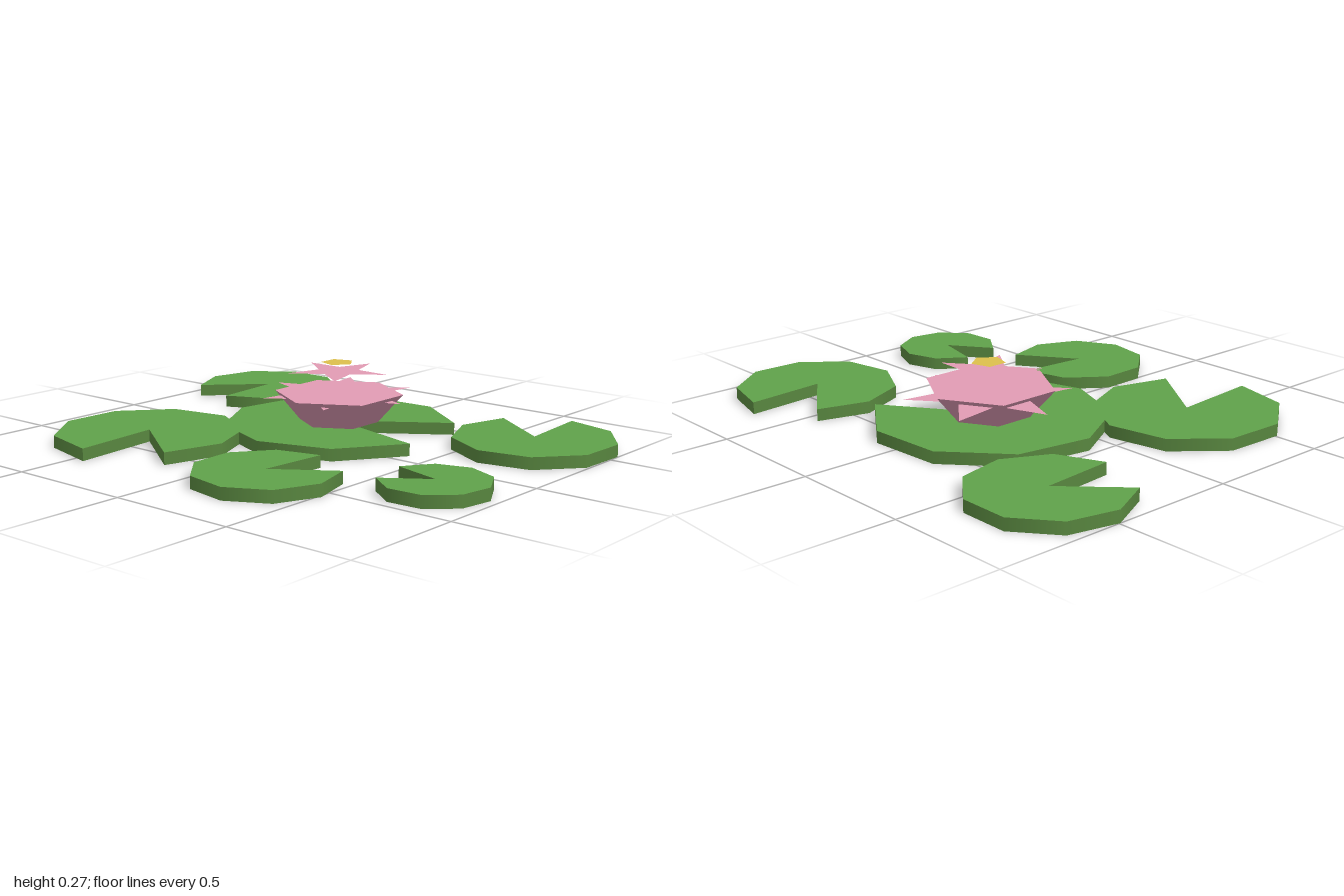
import * as THREE from 'three';
import { mergeGeometries } from 'three/addons/utils/BufferGeometryUtils.js';

const PAD_HEIGHT = 0.047;
const ARC = THREE.MathUtils.degToRad(310);

const green = new THREE.MeshStandardMaterial({ name: 'leaf green', color: 0x60a24a });
const edgeGreen = new THREE.MeshStandardMaterial({ name: 'leaf edge green', color: 0x58863f });
const pink = new THREE.MeshStandardMaterial({ name: 'petal pink', color: 0xe29bb4 });
const cupPink = new THREE.MeshStandardMaterial({ name: 'cup pink', color: 0xd292aa });
const yellow = new THREE.MeshStandardMaterial({ name: 'pollen yellow', color: 0xdcbf4c });
// Everything is a thin open shell
for (const material of [green, edgeGreen, pink, cupPink, yellow]) material.side = THREE.DoubleSide;

// Hollow eight-sided leaf with a wedge notch, open below; start is the angle from +x towards +z.
// Material group 0 is the rim and notch walls, group 1 the top.
function padGeometry(radius, startDegrees) {
  const start = THREE.MathUtils.degToRad(startDegrees);
  const thetaStart = Math.PI / 2 - start - ARC;
  const rim = new THREE.CylinderGeometry(radius, radius, PAD_HEIGHT, 8, 1, true, thetaStart, ARC);
  const wall = () => new THREE.PlaneGeometry(radius, PAD_HEIGHT).translate(radius / 2, 0, 0);
  const startWall = wall().rotateX(Math.PI).rotateY(-start);
  const endWall = wall().rotateY(-start - ARC);
  const sides = mergeGeometries([rim, startWall, endWall]);
  const top = new THREE.CircleGeometry(radius, 8, thetaStart - Math.PI / 2, ARC)
    .rotateX(-Math.PI / 2).translate(0, PAD_HEIGHT / 2, 0);
  return mergeGeometries([sides, top], true).translate(0, PAD_HEIGHT / 2, 0);
}

// Flat horizontal star
function starGeometry(points, outer, inner, turn) {
  const corners = [];
  for (let i = 0; i < points * 2; i++) {
    const r = i % 2 ? inner : outer;
    const a = turn + (i * Math.PI) / points;
    corners.push(new THREE.Vector2(r * Math.cos(a), r * Math.sin(a)));
  }
  return new THREE.ShapeGeometry(new THREE.Shape(corners)).rotateX(-Math.PI / 2);
}

export function createModel() {
  const model = new THREE.Group();
  model.name = 'waterLily';

  const add = (name, geometry, material, x, y, z, parent = model) => {
    const mesh = new THREE.Mesh(geometry, material);
    mesh.name = name;
    mesh.position.set(x, y, z);
    parent.add(mesh);
  };

  // Lily pads: notch tip x, z, radius, start angle
  const pads = [
    ['largePad', -0.027, -0.186, 0.452, 15],
    ['backRightPad', -0.705, -0.527, 0.297, 135],
    ['backLeftPad', 0.698, -0.462, 0.314, -95],
    ['frontRightPad', -0.48, 0.4, 0.362, 85],
    ['frontPad', 0.245, 0.538, 0.268, -35],
    ['smallPad', 0.768, 0.264, 0.202, 195],
  ];
  for (const [name, x, z, radius, start] of pads) {
    add(name, padGeometry(radius, start), [edgeGreen, green], x, 0, z);
  }

  // Flower: hexagonal cup with a flat lid and layered flat petals
  const flower = new THREE.Group();
  flower.name = 'flower';
  model.add(flower);
  const cupHeight = 0.159 - PAD_HEIGHT;
  add('cup', new THREE.CylinderGeometry(0.253, 0.155, cupHeight, 6, 1, true), cupPink,
    -0.028, PAD_HEIGHT + cupHeight / 2, -0.188, flower);
  add('cupTop', new THREE.CircleGeometry(0.253, 6, Math.PI / 2).rotateX(-Math.PI / 2), pink,
    -0.028, 0.159, -0.188, flower);
  add('outerPetals', starGeometry(6, 0.315, 0.145, 0), pink, -0.073, 0.143, -0.235, flower);
  add('innerPetals', starGeometry(5, 0.202, 0.083, Math.PI / 2), pink, -0.07, 0.232, -0.235, flower);
  add('flowerCentre', new THREE.CircleGeometry(0.066, 5).rotateX(-Math.PI / 2), yellow,
    -0.072, 0.267, -0.235, flower);

  return model;
}
